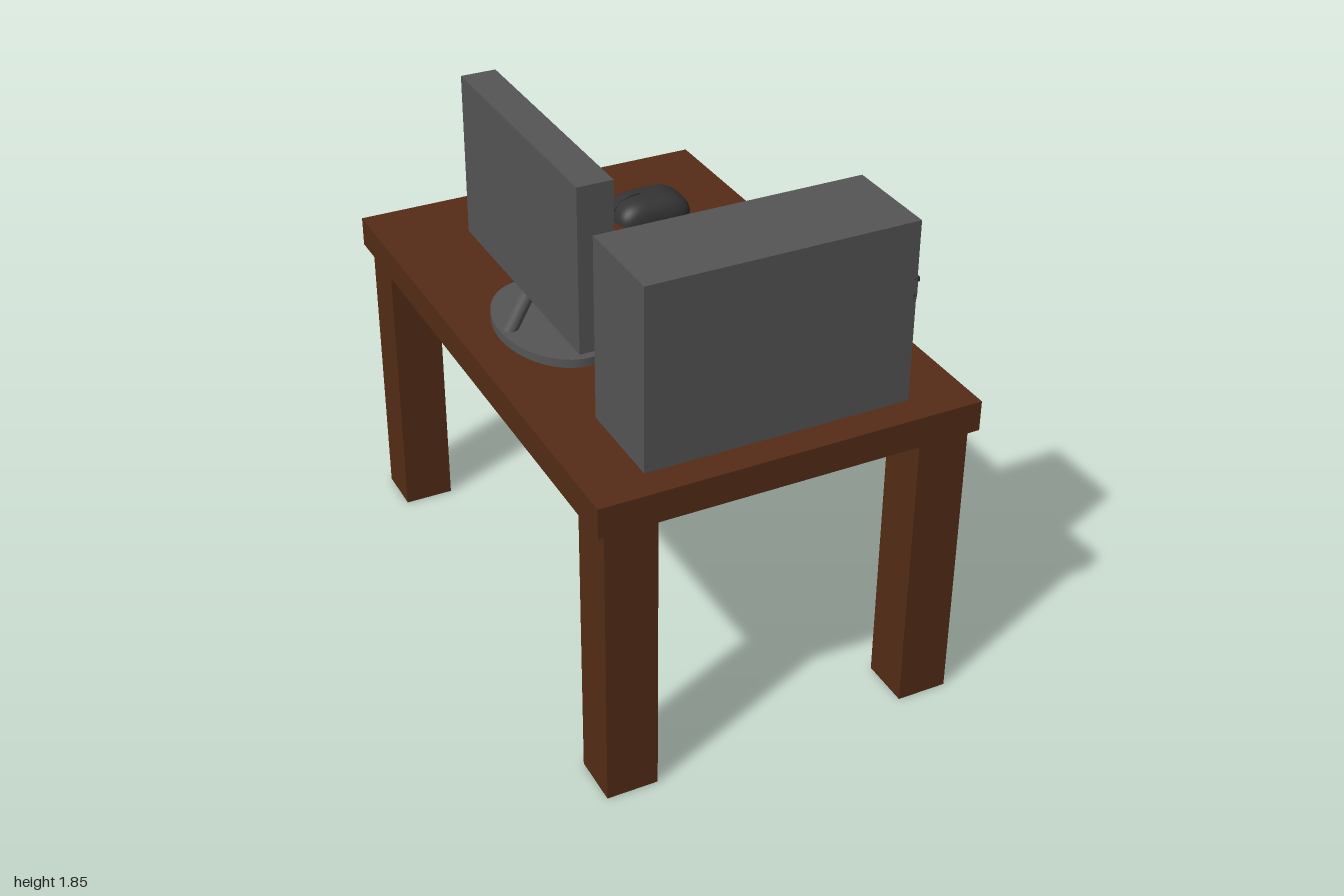
import * as THREE from 'three';

const material = (color) => new THREE.MeshStandardMaterial({ color });

export function createModel() {
  const model = new THREE.Group();
  model.name = 'computerDesk';
  const wood = material(0x552c16);
  const grey = material(0x555555);
  const dark = material(0x333333);
  const blue = material(0x3a8ad8);
  const amber = material(0xd88a20);
  const TOP = 1.125; // desk surface height

  function group(name) {
    const g = new THREE.Group();
    g.name = name;
    model.add(g);
    return g;
  }
  function add(parent, name, geometry, mat) {
    const mesh = new THREE.Mesh(geometry, mat);
    mesh.name = name;
    parent.add(mesh);
    return mesh;
  }
  // Box given by its limits on each axis
  function box(parent, name, mat, [x0, x1], [y0, y1], [z0, z1]) {
    const mesh = add(parent, name, new THREE.BoxGeometry(x1 - x0, y1 - y0, z1 - z0), mat);
    mesh.position.set((x0 + x1) / 2, (y0 + y1) / 2, (z0 + z1) / 2);
    return mesh;
  }

  // Table
  const table = group('table');
  box(table, 'tableTop', wood, [-0.65, 0.65], [1.02, TOP], [-1, 1]);
  for (const sx of [-1, 1]) {
    for (const sz of [-1, 1]) {
      const leg = box(table, 'tableLeg', wood, [0.447, 0.622], [0, 1.02], [0.802, 0.98]);
      leg.position.x *= sx;
      leg.position.z *= sz;
    }
  }

  // Computer tower, its face towards +x
  const tower = group('tower');
  box(tower, 'towerCase', grey, [-0.452, 0.45], [TOP, 1.746], [0.56, 0.895]);
  box(tower, 'driveLip', dark, [0.44, 0.459], [1.541, 1.556], [0.56, 0.895]);
  box(tower, 'drivePanel', grey, [0.44, 0.453], [1.5, 1.541], [0.56, 0.895]);
  box(tower, 'driveSlot', dark, [0.44, 0.452], [1.482, 1.5], [0.56, 0.895]);
  const button = add(tower, 'powerButton', new THREE.CylinderGeometry(0.03, 0.03, 0.03, 32), dark);
  button.rotation.z = -Math.PI / 2;
  button.position.set(0.449, 1.648, 0.73);
  box(tower, 'powerLight', amber, [0.44, 0.455], [1.608, 1.618], [0.679, 0.689]);

  // Monitor: a frame with an opening, a back plate and a sunken screen
  const monitor = group('monitor');
  const outline = new THREE.Shape();
  outline.moveTo(-0.45, 1.287).lineTo(0.45, 1.287).lineTo(0.45, 1.85).lineTo(-0.45, 1.85).closePath();
  const opening = new THREE.Path();
  opening.moveTo(-0.405, 1.33).lineTo(-0.405, 1.808).lineTo(0.405, 1.808).lineTo(0.405, 1.33).closePath();
  outline.holes.push(opening);
  const frame = new THREE.ExtrudeGeometry(outline, { depth: 0.12, bevelEnabled: false });
  frame.rotateY(Math.PI / 2);
  add(monitor, 'monitorFrame', frame, grey).position.x = -0.452;
  box(monitor, 'monitorBack', grey, [-0.452, -0.37], [1.32, 1.82], [-0.42, 0.42]);
  box(monitor, 'screen', blue, [-0.38, -0.35], [1.33, 1.808], [-0.405, 0.405]);

  // Stand: oval foot and leaning round neck
  const foot = add(monitor, 'standFoot', new THREE.CylinderGeometry(1, 1, 0.03, 64), grey);
  foot.scale.set(0.193, 1, 0.28);
  foot.position.set(-0.34, TOP + 0.015, 0);
  const neck = new THREE.CylinderGeometry(0.028, 0.028, 0.2, 32);
  const p = neck.attributes.position;
  for (let i = 0; i < p.count; i++) p.setX(i, p.getX(i) + 0.56 * p.getY(i));
  neck.computeVertexNormals();
  add(monitor, 'standNeck', neck, grey).position.set(-0.45, 1.235, 0);

  // Keyboard, typed on from +x
  const keyboard = group('keyboard');
  box(keyboard, 'keyboardBody', grey, [0.082, 0.4], [TOP, 1.148], [-0.262, 0.312]);
  const keyAt = (row, col) => {
    if (row === 3) return col < 11;
    if (row === 4) return col < 11 || col === 12;
    if (row === 5) return col < 4 || col > 8;
    return true;
  };
  for (let row = 0; row < 6; row++) {
    for (let col = 0; col < 14; col++) {
      if (!keyAt(row, col)) continue;
      const x = 0.106 + row * 0.048, z = 0.285 - col * 0.04;
      box(keyboard, 'key', dark, [x - 0.016, x + 0.016], [1.14, 1.16], [z - 0.015, z + 0.015]);
    }
  }
  box(keyboard, 'spaceBar', dark, [0.33, 0.362], [1.14, 1.16], [-0.04, 0.125]);

  // Mouse: a half sphere pushed out to a rounded rectangle
  const mouse = group('mouse');
  const shell = new THREE.SphereGeometry(1, 64, 24, 0, Math.PI * 2, 0, Math.PI / 2);
  const v = shell.attributes.position;
  for (let i = 0; i < v.count; i++) {
    const x = v.getX(i), y = v.getY(i), z = v.getZ(i);
    const r = Math.hypot(x, z);
    if (r < 1e-6) continue;
    const c = x / r, s = z / r;
    const k = Math.pow(r, 0.7) / Math.pow(c ** 4 + s ** 4, 0.25);
    v.setXYZ(i, c * k, y, s * k);
  }
  shell.scale(0.144, 0.08, 0.096);
  shell.computeVertexNormals();
  add(mouse, 'mouseShell', shell, dark).position.set(0.293, TOP, -0.597);
  // Groove line between the two mouse buttons, following the shell
  const seam = new THREE.CatmullRomCurve3([
    new THREE.Vector3(0.151, 1.145, -0.597),
    new THREE.Vector3(0.163, 1.168, -0.597),
    new THREE.Vector3(0.19, 1.187, -0.597),
    new THREE.Vector3(0.225, 1.199, -0.597),
    new THREE.Vector3(0.262, 1.203, -0.597),
  ]);
  add(mouse, 'buttonSeam', new THREE.TubeGeometry(seam, 24, 0.004, 8), material(0x1c1c1c));

  return model;
}
